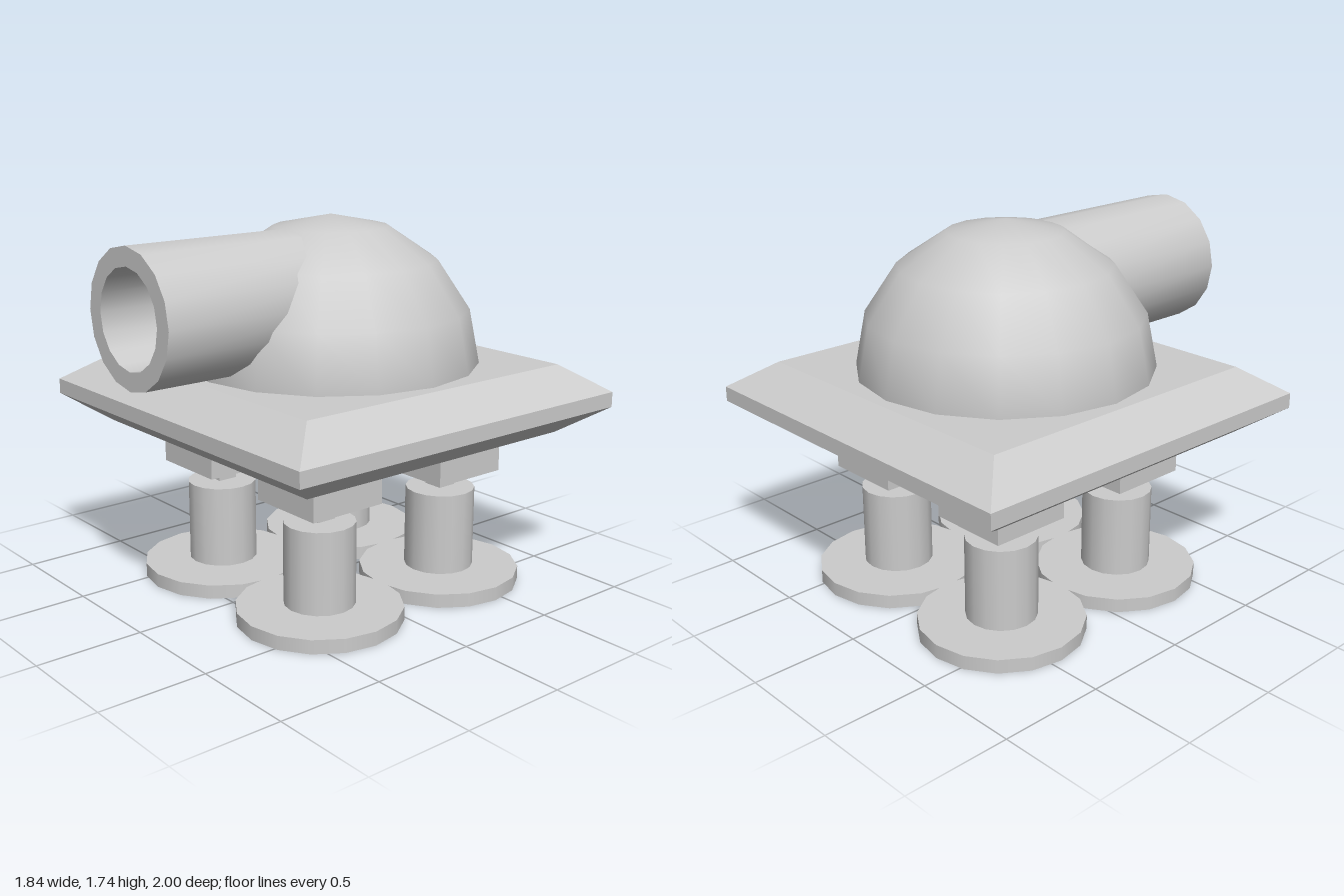
import * as THREE from 'three';
import { toCreasedNormals } from 'three/addons/utils/BufferGeometryUtils.js';

const SIDES = 16;
const CENTRE_Z = -0.08;
const LEG_OFFSET = 0.37;

const smooth = new THREE.MeshStandardMaterial({ color: 0xcccccc });
const flat = new THREE.MeshStandardMaterial({ color: 0xcccccc, flatShading: true });

function addPart(parent, name, geometry, material, x, y, z) {
  const mesh = new THREE.Mesh(geometry, material);
  mesh.name = name;
  mesh.position.set(x, y, z);
  parent.add(mesh);
  return mesh;
}

function lathe(profile, sides, start = 0) {
  const points = profile.map(([r, y]) => new THREE.Vector2(r, y));
  return new THREE.LatheGeometry(points, sides, start);
}

// One leg: mounting block, square pin, round post and foot disc
function createLeg() {
  const leg = new THREE.Group();
  addPart(leg, 'mountingBlock', new THREE.BoxGeometry(0.385, 0.195, 0.385), flat, 0, 0.6425, 0);
  addPart(leg, 'pin', new THREE.BoxGeometry(0.095, 0.075, 0.095), flat, 0, 0.5075, 0);
  addPart(leg, 'post', new THREE.CylinderGeometry(0.163, 0.163, 0.385, SIDES), smooth, 0, 0.2675, 0);
  addPart(leg, 'foot', new THREE.CylinderGeometry(0.38, 0.38, 0.065, SIDES), smooth, 0, 0.0325, 0);
  return leg;
}

export function createModel() {
  const model = new THREE.Group();
  model.name = 'turret';

  // Square platform with bevelled upper and lower edges
  const d = Math.SQRT2;
  const platform = lathe([
    [0, 0.74], [0.74 * d, 0.74], [0.92 * d, 0.867],
    [0.92 * d, 0.938], [0.74 * d, 1.063], [0, 1.063],
  ], 4, Math.PI / 4);
  addPart(model, 'platform', platform, flat, 0, 0, CENTRE_Z);

  // Dome
  const dome = new THREE.SphereGeometry(0.69, SIDES, 4, 0, Math.PI * 2, 0, Math.PI / 2);
  addPart(model, 'dome', dome, smooth, 0, 1.05, CENTRE_Z);

  // Hollow barrel, its back end buried in the dome
  const tube = lathe([
    [0.22, 0], [0.305, 0], [0.305, 1], [0.22, 1], [0.22, 0],
  ], SIDES);
  const barrel = addPart(model, 'barrel', toCreasedNormals(tube, Math.PI / 4), smooth, 0, 1.388, 0);
  barrel.rotation.x = Math.PI / 2;

  // Four legs
  for (const [zName, sz] of [['front', 1], ['back', -1]]) {
    for (const [xName, sx] of [['Left', 1], ['Right', -1]]) {
      const leg = createLeg();
      leg.name = `${zName}${xName}Leg`;
      leg.position.set(sx * LEG_OFFSET, 0, CENTRE_Z + sz * LEG_OFFSET);
      model.add(leg);
    }
  }
  return model;
}
